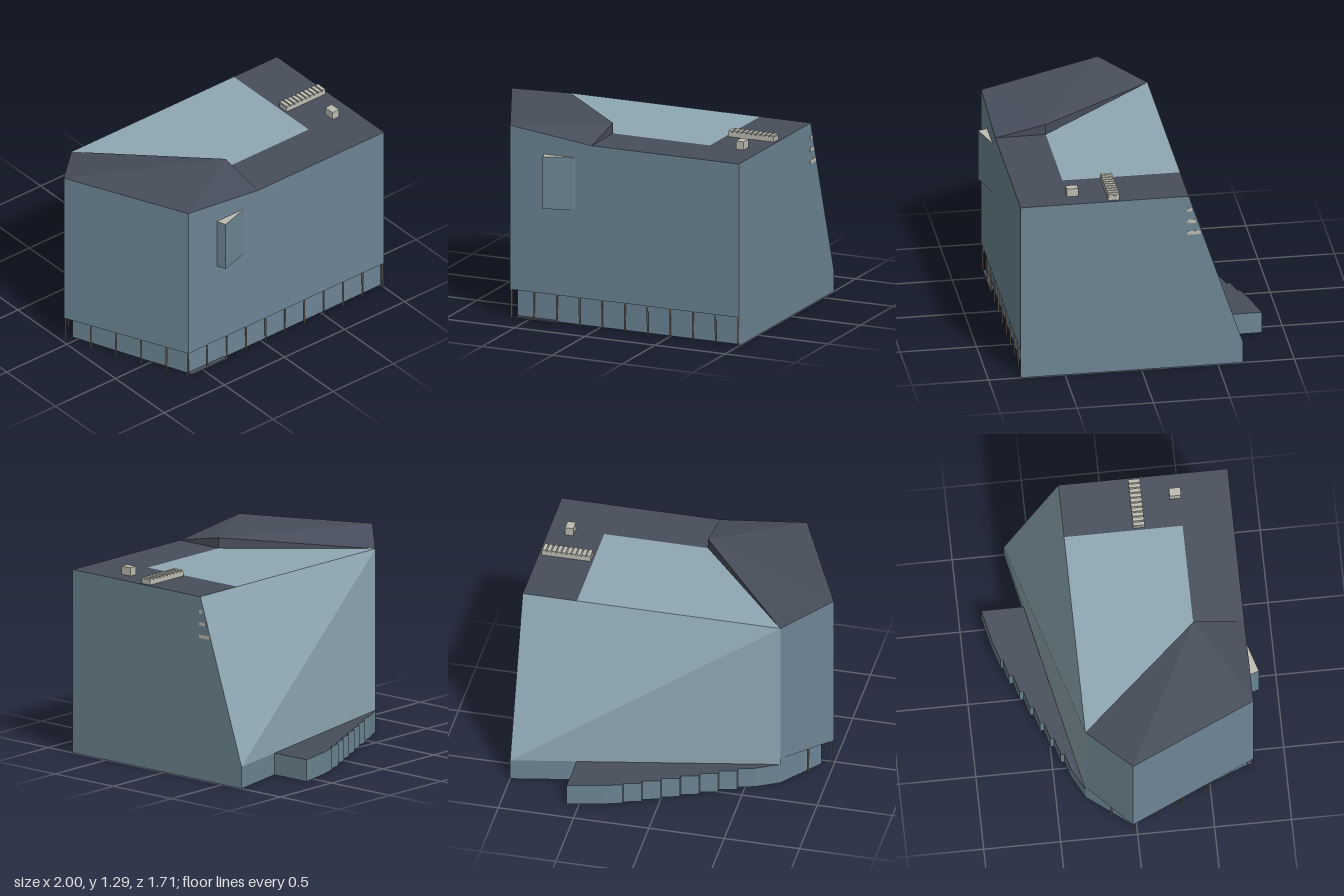
import * as THREE from 'three';

export function createModel() {
  const group = new THREE.Group();
  const mat = (name, color) => {
    const m = new THREE.MeshStandardMaterial({ color, side: THREE.DoubleSide, flatShading: true });
    m.name = name;
    return m;
  };
  const wall = mat('blue wall', 0x6c8593);
  const glass = mat('pale blue glazing', 0x8fa8b4);
  const slate = mat('dark slate roof', 0x474e5b);
  const stone = mat('light stone', 0xbcbcb2);
  const steel = mat('column brown', 0x94897f);

  const add = (name, geometry, material, parent = group) => {
    const mesh = new THREE.Mesh(geometry, material);
    mesh.name = name;
    parent.add(mesh);
    return mesh;
  };
  const box = (name, x0, x1, y0, y1, z0, z1, material) => {
    const mesh = add(name, new THREE.BoxGeometry(x1 - x0, y1 - y0, z1 - z0), material);
    mesh.position.set((x0 + x1) / 2, (y0 + y1) / 2, (z0 + z1) / 2);
    return mesh;
  };
  // Flat faces, each a counter-clockwise loop fanned from its first corner
  const faces = (name, loops, material) => {
    const pos = [];
    for (const l of loops)
      for (let i = 1; i < l.length - 1; i++) pos.push(...l[0], ...l[i], ...l[i + 1]);
    const g = new THREE.BufferGeometry();
    g.setAttribute('position', new THREE.Float32BufferAttribute(pos, 3));
    g.computeVertexNormals();
    return add(name, g, material);
  };
  // Vertical wall following a plan path of [x, z] points
  const wallAlong = (name, path, y0, y1, material) => {
    const loops = [];
    for (let i = 0; i < path.length - 1; i++) {
      const [a, b] = [path[i], path[i + 1]];
      loops.push([[a[0], y0, a[1]], [b[0], y0, b[1]], [b[0], y1, b[1]], [a[0], y1, a[1]]]);
    }
    return faces(name, loops, material);
  };

  // Plan corners of the building and key heights
  const A = [-1, -0.03], B = [-0.71, -0.31], C = [1, -0.31], D = [1, 0.79];
  const E = [-0.63, 0.79], F = [-0.05, 0.46], G = [-0.05, 0.79], K = [1, -0.665];
  const P = [0.64, -0.31], Q = [0.64, 0.46], R = [1, 0.46];
  const at = (p, y) => [p[0], y, p[1]];
  const roofY = 1.22, peakY = 1.29, lowY = 0.19, stairY = 0.145;

  // Main shell, open underneath
  faces('eastWall', [[at(D, 0), at(K, 0), at(K, stairY), at(C, roofY), at(D, roofY)]], wall);
  faces('frontWall', [[at(G, roofY), at(E, peakY), at(E, lowY), at(D, lowY), at(D, roofY)]], wall);
  faces('westWalls', [
    [at(A, lowY), at(E, lowY), at(E, peakY), at(A, peakY)],
    [at(B, lowY), at(A, lowY), at(A, peakY), at(B, roofY)],
  ], wall);
  faces('slopingBackGlazing', [
    [at(K, stairY), at(B, roofY), at(C, roofY)],
    [at(K, stairY), at(B, stairY), at(B, roofY)],
  ], glass);
  wallAlong('backPlinth', [K, B], 0, stairY, wall);

  // Roof: flat glazed field, dark border and folded corner
  faces('roofGlazing', [[B, F, Q, P].map(p => at(p, roofY))], glass);
  faces('roofBorder', [[P, Q, R, C], [F, G, D, R]].map(l => l.map(p => at(p, roofY))), slate);
  faces('foldedRoof', [
    [at(A, peakY), at(E, peakY), at(F, peakY)],
    [at(A, peakY), at(F, peakY), at(B, roofY)],
    [at(E, peakY), at(G, roofY), at(F, peakY)],
    [at(G, roofY), at(F, roofY), at(F, peakY)],
    [at(F, roofY), at(B, roofY), at(F, peakY)],
  ], slate);

  // Recessed ground floor
  wallAlong('groundFloorWall', [B, [-0.92, -0.04], [-0.595, 0.755], [1, 0.755]], 0, lowY, wall);
  box('entranceStep', -0.6, -0.31, 0, 0.01, 0.755, 0.785, slate);

  // Low rear wing with a stepped outer wall
  const outer = [[0.58, -0.58], [0.58, -0.855], [0.355, -0.805], [0.23, -0.765]];
  for (let i = 0; i < 6; i++) {
    const x = 0.228 - 0.114 * i, z = -0.75 + 0.055 * i;
    outer.push([x, z], [x - 0.114, z + 0.03]);
  }
  outer.push([-0.456, -0.42], [-0.56, -0.39], B);
  wallAlong('steppedRearWall', outer, 0, stairY, wall);
  const wing = new THREE.ShapeGeometry(new THREE.Shape(outer.map(p => new THREE.Vector2(p[0], -p[1]))));
  wing.rotateX(-Math.PI / 2);
  add('rearWingRoof', wing, slate).position.y = stairY;

  // Wedge-shaped bay window
  const b0 = [-0.39, 0.79], b1 = [-0.37, 0.852], b2 = [-0.165, 0.79];
  wallAlong('bayWindowSides', [b0, b1, b2], 0.775, 1.125, wall);
  faces('bayWindowCaps', [
    [b0, b1, b2].map(p => at(p, 1.125)),
    [b2, b1, b0].map(p => at(p, 0.775)),
  ], stone);

  // Rooftop equipment
  box('roofDuct', 0.655, 0.98, roofY, 1.25, 0.14, 0.215, stone);
  for (let i = 0; i < 10; i++) {
    const x = 0.657 + i * 0.0328;
    box('ductRib', x, x + 0.024, 1.25, 1.26, 0.14, 0.215, stone);
  }
  box('roofVent', 0.83, 0.885, roofY, 1.275, 0.395, 0.47, stone);

  // Horizontal slots on the east wall beside the slope
  [[1.11, -0.33], [1.028, -0.358], [0.945, -0.385]].forEach(([y, z]) =>
    box('eastSlot', 0.994, 1.002, y, y + 0.025, z, -0.3, stone));

  // Slim columns under the overhang
  const columnRow = (from, to, n) => {
    for (let i = 0; i < n; i++) {
      const t = i / (n - 1);
      const c = add('column', new THREE.CylinderGeometry(0.006, 0.005, lowY, 6), steel);
      c.position.set(from[0] + (to[0] - from[0]) * t, lowY / 2, from[1] + (to[1] - from[1]) * t);
      c.rotation.z = 0.02 * Math.sin(i * 2.3);
    }
  };
  columnRow([-0.625, 0.78], [0.99, 0.78], 11);
  columnRow([-0.985, -0.03], [-0.69, 0.64], 5);
  columnRow([-0.705, -0.3], [-0.86, -0.155], 2);

  return group;
}
